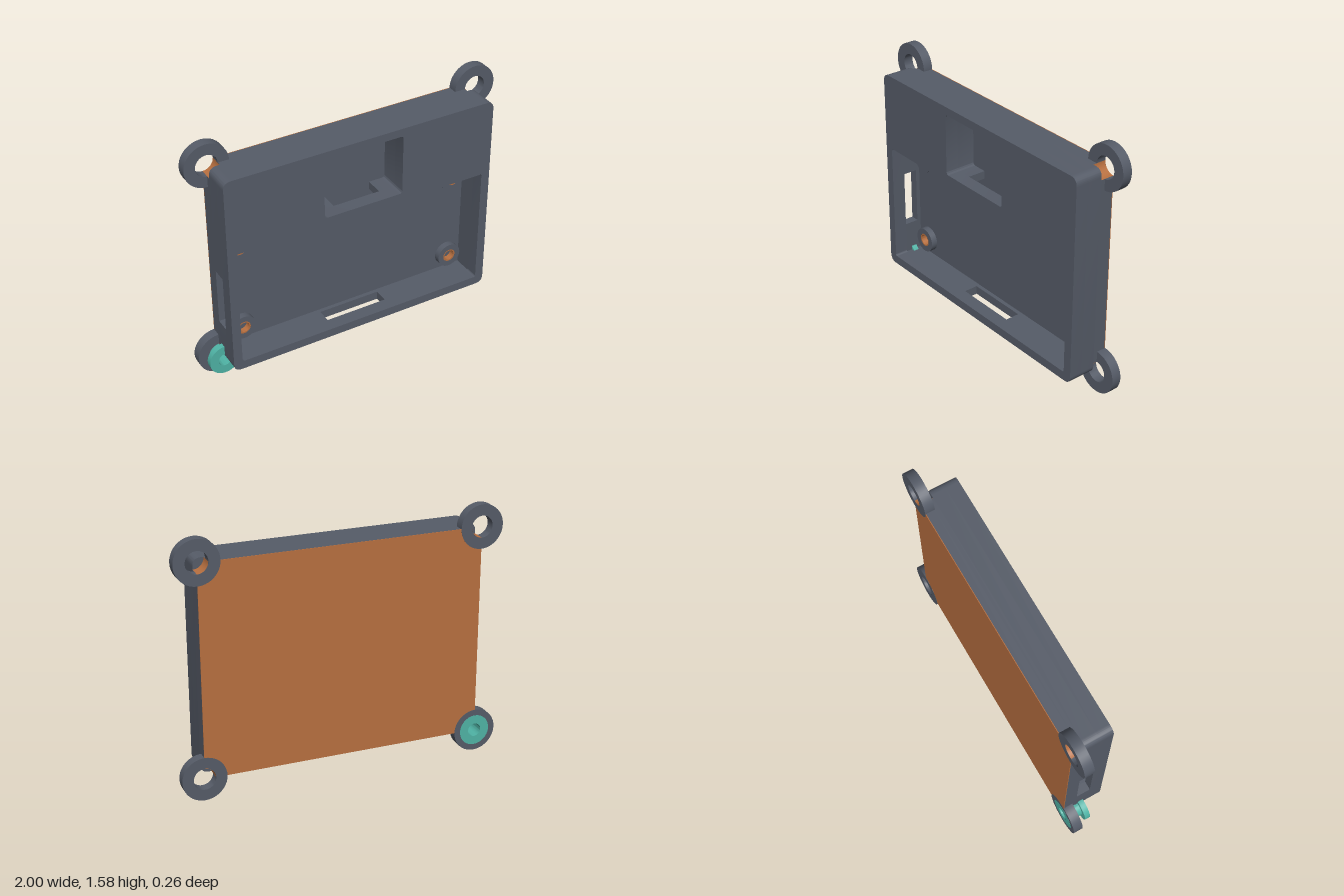
import * as THREE from 'three';
import { toCreasedNormals } from 'three/addons/utils/BufferGeometryUtils.js';

const slate = new THREE.MeshStandardMaterial({ color: 0x565c68 });
const orange = new THREE.MeshStandardMaterial({ color: 0xb87040, side: THREE.DoubleSide });
const teal = new THREE.MeshStandardMaterial({ color: 0x4fb3a5 });

const X = 0.865, BOTTOM = 0.135, TOP = 1.44; // case outline
const BACK = -0.13, FLOOR = -0.07, FRONT = 0.13;
const HOLE = 0.067; // corner eyelet bore

// Closed outline from [x, y, cornerRadius] points
function outline(points, Type = THREE.Shape) {
  const s = new Type();
  const n = points.length;
  points.forEach(([x, y, r = 0], i) => {
    const toward = ([px, py]) => {
      const d = Math.hypot(px - x, py - y);
      return [x + (px - x) * r / d, y + (py - y) * r / d];
    };
    const a = toward(points[(i + n - 1) % n]);
    const b = toward(points[(i + 1) % n]);
    if (i === 0) s.moveTo(...a); else s.lineTo(...a);
    if (r) s.quadraticCurveTo(x, y, ...b);
  });
  s.closePath();
  return s;
}

const rect = (x, y0, y1, r, Type) =>
  outline([[-x, y0, r], [x, y0, r], [x, y1, r], [-x, y1, r]], Type);

// Case outline with a round bite at each corner for the eyelet bores
function notchedOutline() {
  const s = new THREE.Shape();
  s.moveTo(-X + HOLE, BOTTOM);
  s.absarc(X, BOTTOM, HOLE, Math.PI, Math.PI / 2, true);
  s.absarc(X, TOP, HOLE, -Math.PI / 2, -Math.PI, true);
  s.absarc(-X, TOP, HOLE, 0, -Math.PI / 2, true);
  s.absarc(-X, BOTTOM, HOLE, Math.PI / 2, 0, true);
  return s;
}

function slab(name, shape, z0, z1, material = slate) {
  const geo = new THREE.ExtrudeGeometry(shape, { depth: z1 - z0, bevelEnabled: false, curveSegments: 20 });
  geo.translate(0, 0, z0);
  const mesh = new THREE.Mesh(toCreasedNormals(geo, 0.6), material);
  mesh.name = name;
  return mesh;
}

function ring(name, x, y, outer, inner, z0, z1, material = slate) {
  const s = new THREE.Shape().absarc(0, 0, outer, 0, Math.PI * 2);
  s.holes.push(new THREE.Path().absarc(0, 0, inner, 0, Math.PI * 2));
  const mesh = slab(name, s, z0, z1, material);
  mesh.position.set(x, y, 0);
  return mesh;
}

export function createModel() {
  const model = new THREE.Group();

  // Recess outlines: large bay, small bay above it, and the wire channel between
  const largeBay = [[0.81, 0.955], [0.81, 0.19], [-0.81, 0.19], [-0.81, 0.955]];
  const smallBay = [[-0.15, 0.955], [-0.15, 1.005], [-0.255, 1.005, 0.02], [-0.255, 1.39, 0.02],
    [0.255, 1.39, 0.02], [0.255, 1.005, 0.02], [0.15, 1.005], [0.15, 0.955]];

  // Case, stacked from back to front
  const body = new THREE.Group();
  body.name = 'caseBody';
  const lower = notchedOutline();
  lower.holes.push(outline([...largeBay, ...smallBay], THREE.Path));
  body.add(
    slab('caseFloor', notchedOutline(), BACK + 0.004, FLOOR),
    slab('lowerWalls', lower, FLOOR, -0.045),
  );

  // Middle walls leave a port slot in the right side and in the underside
  const cornerWall = outline([[-X, 0.39], [-X, BOTTOM, 0.05], [-0.2, BOTTOM], [-0.2, 0.19],
    [-0.81, 0.19], [-0.81, 0.39]]);
  const mainWall = outline([[0.2, BOTTOM], [X, BOTTOM, 0.05], [X, TOP, 0.05], [-X, TOP, 0.05],
    [-X, 0.75], [-0.81, 0.75], [-0.81, 0.955], ...smallBay, [0.81, 0.955], [0.81, 0.19], [0.2, 0.19]]);
  body.add(
    slab('cornerWall', cornerWall, -0.045, 0.045),
    slab('slottedWalls', mainWall, -0.045, 0.045),
  );

  const face = rect(X, BOTTOM, TOP, 0.05);
  face.holes.push(rect(0.81, 0.19, 0.955, 0.012, THREE.Path), rect(0.255, 1.005, 1.39, 0.02, THREE.Path));
  body.add(slab('frontFrame', face, 0.045, FRONT));
  model.add(body);

  // Back cover
  model.add(slab('backCover', notchedOutline(), BACK, BACK + 0.004, orange));

  for (const side of [-1, 1]) {
    // Board standoffs with lined bores
    for (const y of [0.29, 0.86]) {
      model.add(ring('standoff', side * 0.715, y, 0.078, 0.042, FLOOR, -0.03));
      model.add(ring('standoffLiner', side * 0.715, y, 0.042, 0.034, FLOOR, -0.031, orange));
    }
    // Corner eyelets and the lined bite each takes out of the case
    for (const y of [BOTTOM, TOP]) {
      model.add(ring('eyelet', side * X, y, 0.135, HOLE, BACK - 0.001, FLOOR));
      const quarter = y === TOP ? (side > 0 ? 2 : 3) : (side > 0 ? 1 : 0);
      const arc = new THREE.EllipseCurve(0, 0, 0.066, 0.066, quarter * Math.PI / 2, (quarter + 1) * Math.PI / 2);
      const pts = arc.getPoints(10);
      const strip = new THREE.PlaneGeometry(1, 1, 10, 1);
      const pos = strip.attributes.position;
      for (let i = 0; i < pos.count; i++) {
        const p = pts[i % 11];
        pos.setXYZ(i, p.x, p.y, i < 11 ? -0.045 : BACK);
      }
      strip.computeVertexNormals();
      const liner = new THREE.Mesh(strip, orange);
      liner.name = 'eyeletLiner';
      liner.position.set(side * X, y, 0);
      model.add(liner);
    }
  }

  // Spool-shaped grommet through the lower right eyelet
  const grommet = new THREE.Group();
  grommet.name = 'grommet';
  grommet.add(
    ring('backFlange', -X, BOTTOM, 0.097, 0.042, BACK - 0.002, -0.1, teal),
    ring('neck', -X, BOTTOM, 0.06, 0.042, -0.1, -0.03, teal),
    ring('frontFlange', -X, BOTTOM, 0.097, 0.042, -0.03, 0.005, teal),
  );
  model.add(grommet);

  return model;
}
